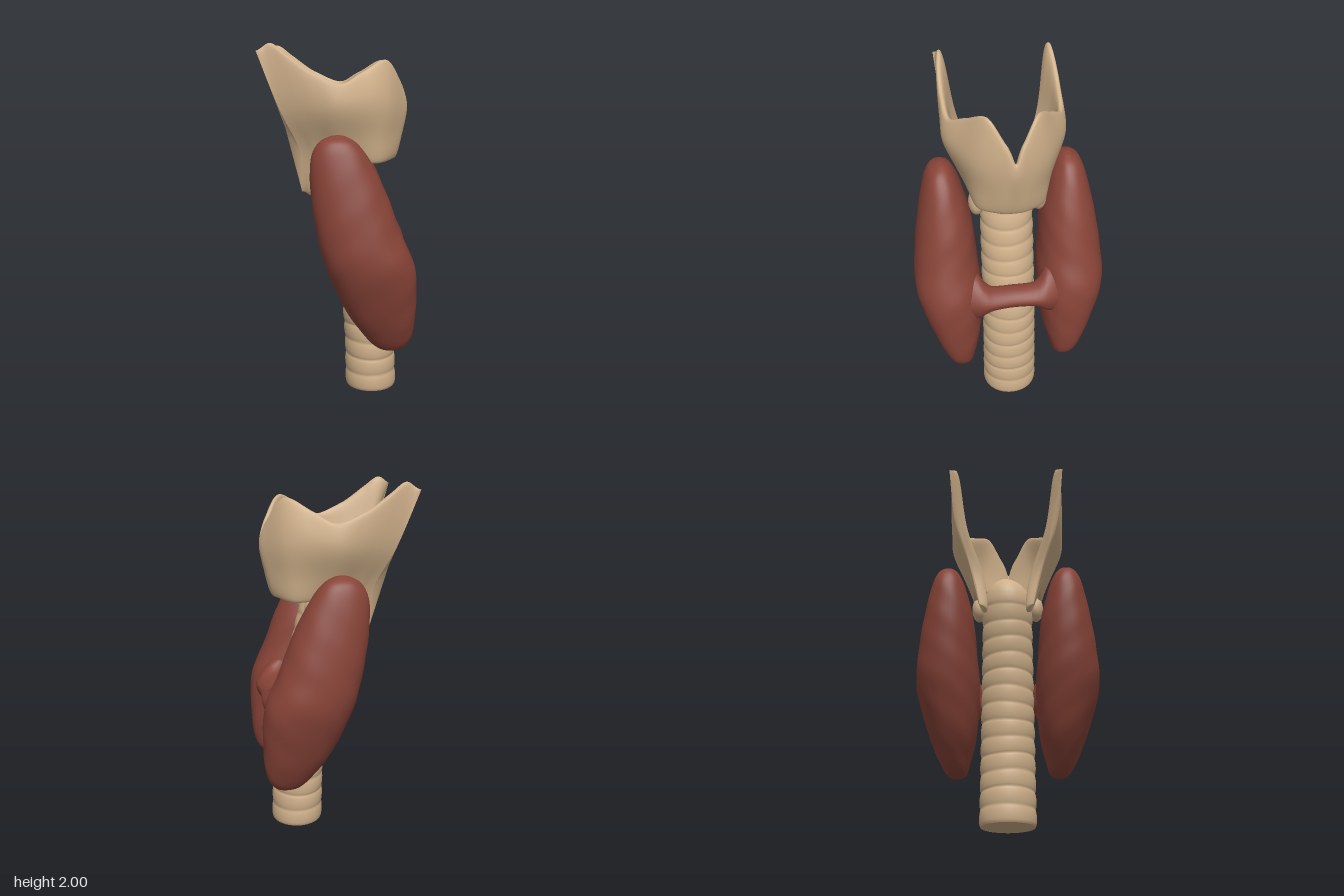
import * as THREE from 'three';

const V = (x, y, z) => new THREE.Vector3(x, y, z);
const curve = (pts) => new THREE.CatmullRomCurve3(pts, false, 'centripetal');
// uniform parameter, so several curves with the same stations stay in step
const inStep = (pts) => new THREE.CatmullRomCurve3(pts, false, 'catmullrom', 0.5);

// Skin a list of closed cross-sections, with flat end caps; faces always point outwards
function loft(sections) {
  const n = sections[0].length;
  const pts = sections.flat();
  const idx = [];
  for (let i = 0; i < sections.length - 1; i++) {
    for (let j = 0; j < n; j++) {
      const a = i * n + j, b = i * n + (j + 1) % n;
      idx.push(a, b, a + n, b, b + n, a + n);
    }
  }
  [sections[0], sections[sections.length - 1]].forEach((ring, end) => {
    const start = pts.length;
    const middle = ring.reduce((sum, p) => sum.add(p), V(0, 0, 0)).divideScalar(n);
    pts.push(...ring, middle);
    for (let j = 0; j < n; j++) {
      const a = start + j, b = start + (j + 1) % n;
      idx.push(...(end ? [a, b, start + n] : [b, a, start + n]));
    }
  });
  let volume = 0;
  for (let i = 0; i < idx.length; i += 3) {
    volume += pts[idx[i]].dot(pts[idx[i + 1]].clone().cross(pts[idx[i + 2]]));
  }
  if (volume < 0) idx.reverse();
  const geo = new THREE.BufferGeometry().setFromPoints(pts);
  geo.setIndex(idx);
  geo.computeVertexNormals();
  return geo;
}

// Closed loop of n points from a function of the angle
const loop = (n, fn) => Array.from({ length: n }, (_, j) => fn((j / n) * Math.PI * 2));
// Power that keeps the sign, for slightly squared ellipses
const squared = (v) => Math.sign(v) * Math.pow(Math.abs(v), 0.88);

// Ringed windpipe, leaning back towards the top and ending in a smooth dome
function windpipe() {
  const axis = curve([V(0.2, 0, 0), V(0.19, 0.3, 0), V(0.17, 0.55, 0), V(0.13, 0.85, 0), V(0.07, 1.15, 0), V(0.025, 1.35, 0), V(0.015, 1.46, 0)]);
  const sections = [];
  const steps = 190;
  for (let i = 0; i <= steps; i++) {
    const p = axis.getPointAt(i / steps);
    const dome = Math.max(0, (p.y - 1.27) / 0.19);
    const round = Math.sqrt(Math.max(0.0001, 1 - dome * dome));
    const fade = Math.min(1, Math.max(0, (1.32 - p.y) / 0.1));
    const ripple = fade * (0.009 * Math.pow(Math.abs(Math.sin((p.y / 0.097) * Math.PI)), 0.5) - 0.006);
    const r = (0.159 - 0.012 * Math.min(1, p.y / 1.2) + ripple) * round;
    sections.push(loop(40, (a) => {
      const wobble = 0.005 * Math.sin(2 * a + p.y * 9) * Math.min(1, p.y * 5);
      return V(p.x + r * 0.93 * Math.cos(a), p.y + wobble, r * Math.sin(a));
    }));
  }
  return loft(sections);
}

// Gland lobe: rows of y, back x, front x, inner z, outer z
function lobe(side) {
  const rows = [
    [0.308, 0.295, 0.315, 0.295, 0.31], [0.33, 0.22, 0.37, 0.245, 0.355], [0.4, 0.15, 0.412, 0.222, 0.4],
    [0.55, 0.045, 0.43, 0.185, 0.465], [0.8, -0.065, 0.42, 0.165, 0.538], [1.0, -0.115, 0.34, 0.18, 0.53],
    [1.2, -0.145, 0.265, 0.2, 0.5], [1.38, -0.148, 0.175, 0.245, 0.46], [1.475, -0.11, 0.105, 0.285, 0.425],
    [1.513, -0.05, 0.045, 0.32, 0.38], [1.522, -0.008, 0.008, 0.343, 0.357],
  ];
  const centre = inStep(rows.map(([y, x0, x1, z0, z1]) => V((x0 + x1) / 2, y, (z0 + z1) / 2)));
  const size = inStep(rows.map(([, x0, x1, z0, z1]) => V((x1 - x0) / 2, 0, (z1 - z0) / 2)));
  const sections = [];
  for (let i = 0; i <= 90; i++) {
    const c = centre.getPoint(i / 90), s = size.getPoint(i / 90);
    sections.push(loop(48, (a) => {
      const lump = 1 + 0.01 * Math.sin(3 * a + c.y * 13) * Math.sin(c.y * 21 + 2 * a + side);
      return V(c.x + s.x * lump * squared(Math.cos(a)), c.y, side * (c.z + s.z * lump * squared(Math.sin(a))));
    }));
  }
  return loft(sections);
}

// Bridge across the front of the windpipe: rows of z, front x, half depth, half height
function bridge() {
  const half = [
    [0.06, 0.408, 0.063, 0.057], [0.12, 0.413, 0.065, 0.064], [0.16, 0.415, 0.075, 0.09],
    [0.2, 0.408, 0.095, 0.135], [0.25, 0.392, 0.1, 0.15], [0.32, 0.36, 0.09, 0.11],
  ];
  const rows = [...half.slice().reverse().map(([z, ...r]) => [-z, ...r]), [0, 0.405, 0.062, 0.057], ...half];
  const centre = inStep(rows.map(([z, x, d]) => V(x - d, 0.798, z)));
  const size = inStep(rows.map(([, , d, h]) => V(d, h, 0)));
  const sections = [];
  for (let i = 0; i <= 72; i++) {
    const c = centre.getPoint(i / 72), s = size.getPoint(i / 72);
    // the upper half leans back with the lobes
    sections.push(loop(28, (a) => {
      const dy = s.y * Math.sin(a);
      return V(c.x + s.x * Math.cos(a) - 0.4 * Math.max(0, dy), c.y + dy, c.z);
    }));
  }
  return loft(sections);
}

// Shield ribs: top, middle, low and bottom points from the front notch to the rear horns
const ribHalf = [
  [[0.37, 1.8, 0.06], [0.365, 1.64, 0.075], [0.345, 1.48, 0.08], [0.33, 1.365, 0.09]],
  [[0.285, 1.915, 0.15], [0.28, 1.67, 0.195], [0.25, 1.48, 0.19], [0.24, 1.35, 0.195]],
  [[0.14, 1.845, 0.25], [0.14, 1.67, 0.285], [0.12, 1.49, 0.245], [0.1, 1.36, 0.22]],
  [[0.02, 1.79, 0.33], [0.01, 1.66, 0.335], [0, 1.5, 0.275], [-0.01, 1.36, 0.215]],
  [[-0.14, 1.85, 0.35], [-0.1, 1.65, 0.325], [-0.08, 1.47, 0.245], [-0.075, 1.32, 0.19]],
  [[-0.27, 1.94, 0.35], [-0.19, 1.66, 0.315], [-0.13, 1.43, 0.225], [-0.11, 1.2, 0.17]],
  [[-0.36, 2.0, 0.34], [-0.26, 1.66, 0.305], [-0.165, 1.42, 0.215], [-0.155, 1.165, 0.16]],
  [[-0.43, 1.96, 0.335], [-0.31, 1.65, 0.295], [-0.205, 1.41, 0.21], [-0.2, 1.19, 0.16]],
];
const ribFront = [[0.405, 1.705, 0], [0.395, 1.62, 0], [0.365, 1.48, 0], [0.345, 1.365, 0]];
const ribRows = [...ribHalf.slice().reverse().map((r) => r.map(([x, y, z]) => [x, y, -z])), ribFront, ...ribHalf];
const [ribTop, ribMid, ribLow, ribBottom] = [0, 1, 2, 3].map((k) => inStep(ribRows.map((r) => V(...r[k]))));

// Rib curve, outward direction and half thickness at u along the shield
function shieldRib(u) {
  const t = ribMid.getTangent(u);
  const e = Math.abs(2 * u - 1);
  const edge = Math.max(0, (e - 0.92) / 0.08);
  return {
    rib: curve([ribBottom, ribLow, ribMid, ribTop].map((c) => c.getPoint(u))),
    normal: V(t.z, 0, -t.x).normalize(),
    thick: (0.027 + 0.011 * e) * Math.sqrt(Math.max(0.02, 1 - edge * edge)),
  };
}

// Shield cartilage wrapped around the front, open at the back
function shield() {
  const sections = [];
  const steps = 160, across = 28;
  for (let i = 0; i <= steps; i++) {
    const { rib, normal, thick } = shieldRib(i / steps);
    const outer = [], inner = [];
    for (let j = 0; j <= across; j++) {
      const s = (1 - Math.cos((j / across) * Math.PI)) / 2;
      const core = rib.getPoint(s).addScaledVector(normal, -thick);
      const h = thick * Math.pow(Math.max(0, 4 * s * (1 - s)), 0.35);
      outer.push(core.clone().addScaledVector(normal, h));
      if (j > 0 && j < across) inner.unshift(core.clone().addScaledVector(normal, -h));
    }
    sections.push([...outer, ...inner]);
  }
  return loft(sections);
}

// Sloping lining from the inside of the shield down to the dome
function lining() {
  const geo = new THREE.PlaneGeometry(1, 1, 60, 6);
  const uv = geo.attributes.uv;
  for (let i = 0; i < uv.count; i++) {
    const u = 0.25 + 0.5 * uv.getX(i);
    const { rib, normal, thick } = shieldRib(u);
    const angle = (u - 0.5) * 4 * 1.75;
    const high = rib.getPoint(0.42).addScaledVector(normal, -thick);
    const low = V(0.02 + 0.11 * Math.cos(angle), 1.37, 0.115 * Math.sin(angle));
    const p = low.lerp(high, uv.getY(i));
    geo.attributes.position.setXYZ(i, p.x, p.y, p.z);
  }
  geo.computeVertexNormals();
  return geo;
}

export function createModel() {
  const cartilage = new THREE.MeshStandardMaterial({ color: 0xcfb08a, side: THREE.DoubleSide });
  cartilage.name = 'cartilage tan';
  const gland = new THREE.MeshStandardMaterial({ color: 0x874337 });
  gland.name = 'gland red brown';

  const model = new THREE.Group();
  model.name = 'throat model';
  const add = (name, geometry, material) => {
    const mesh = new THREE.Mesh(geometry, material);
    mesh.name = name;
    model.add(mesh);
    return mesh;
  };

  add('windpipe', windpipe(), cartilage);
  add('shieldCartilage', shield(), cartilage);
  add('shieldLining', lining(), cartilage);
  add('glandBridge', bridge(), gland);
  for (const side of [1, -1]) {
    const label = side > 0 ? 'left' : 'right';
    add(label + 'Lobe', lobe(side), gland);
    // small knob of the ring cartilage under the shield
    const knob = add(label + 'Knob', new THREE.SphereGeometry(1, 24, 16), cartilage);
    knob.scale.set(0.06, 0.08, 0.045);
    knob.position.set(0.11, 1.315, side * 0.172);
  }
  return model;
}
